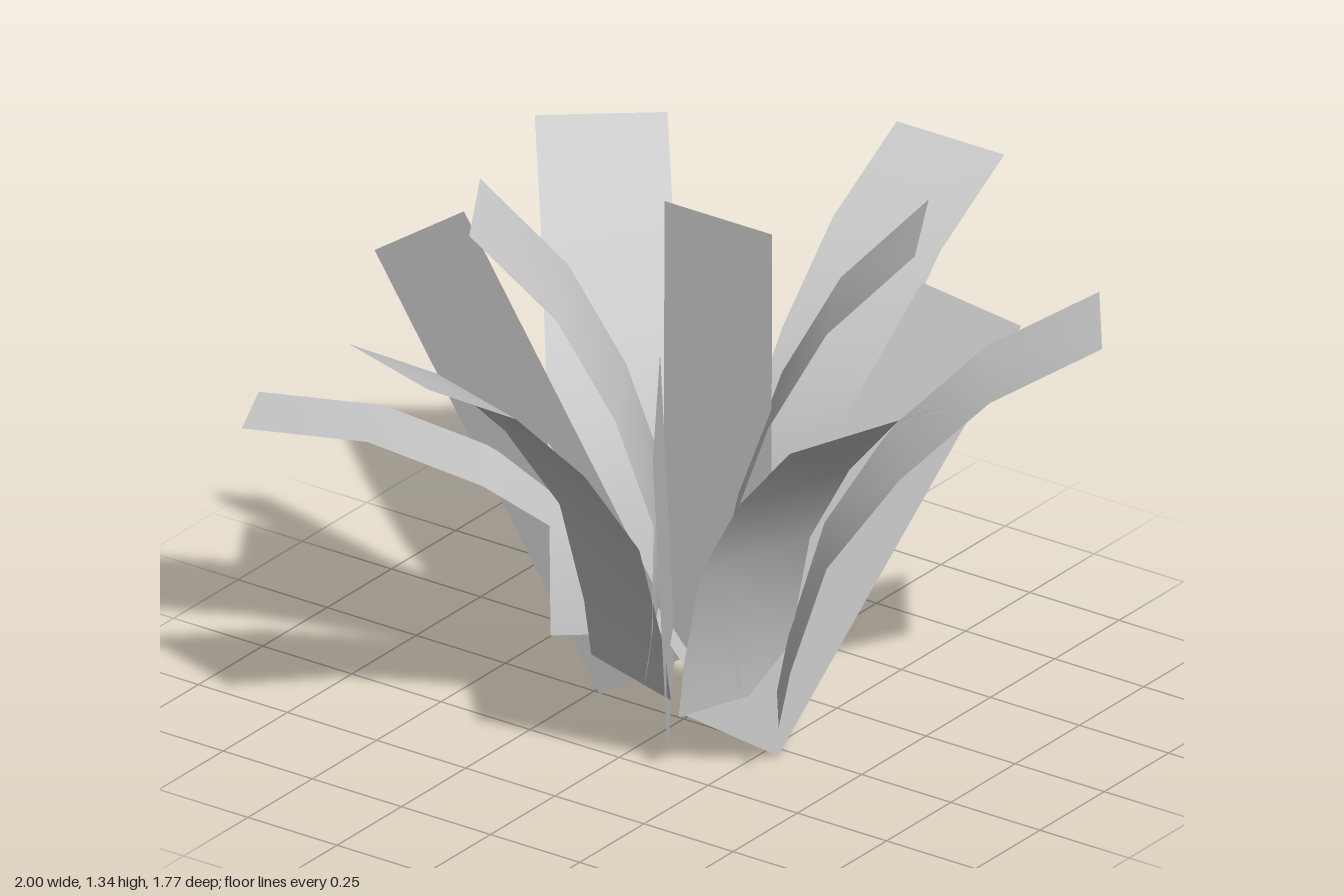
import * as THREE from 'three';

const WIDTH = 0.302;
// side profile of an arched leaf: [distance along the chord, bulge above it]
const ARCH = [[0, 0], [0.126, 0.064], [0.383, 0.159], [0.661, 0.164], [0.937, 0.12], [1.2, 0]];
const FLAT = [[0, 0], [1.135, 0]];

const material = new THREE.MeshStandardMaterial({ color: 0xcccccc, side: THREE.DoubleSide });

// strip of constant width following a profile, rising along +y and bulging to +z
function stripGeometry(profile) {
  const n = profile.length - 1;
  const geo = new THREE.PlaneGeometry(WIDTH, 1, 1, n);
  const pos = geo.attributes.position;
  for (let i = 0; i < pos.count; i++) {
    const [along, bulge] = profile[n - Math.floor(i / 2)];
    pos.setY(i, along);
    pos.setZ(i, bulge);
  }
  geo.computeVertexNormals();
  return geo;
}

// place a strip from its base centre towards its tip centre, turned about its length
function leaf(name, geometry, base, tip, roll = 0) {
  const start = new THREE.Vector3(...base);
  const chord = new THREE.Vector3(...tip).sub(start).normalize();
  const side = chord.clone().cross(new THREE.Vector3(0, 1, 0)).normalize();
  const normal = side.clone().cross(chord);
  const mesh = new THREE.Mesh(geometry, material);
  mesh.name = name;
  mesh.position.copy(start);
  mesh.quaternion.setFromRotationMatrix(new THREE.Matrix4().makeBasis(side, chord, normal));
  mesh.rotateY(roll);
  return mesh;
}

export function createModel() {
  const group = new THREE.Group();
  group.name = 'grassTuft';
  const arch = stripGeometry(ARCH);
  const flat = stripGeometry(FLAT);

  // arched leaves fanning outwards
  const arched = [
    ['backLeaf', [0.107, 0.16, -0.2], [0.107, 1.143, -0.89]],
    ['backRightLeaf', [-0.18, 0.16, 0.01], [-0.61, 1.143, -0.525]],
    ['frontLeaf', [-0.02, 0.16, 0.176], [-0.225, 1.143, 0.835]],
    ['frontLeftLeaf', [0.24, 0.16, 0.14], [0.89, 1.143, 0.363]],
    ['backLeftLeaf', [0.31, 0.155, 0.065], [0.9, 1.107, -0.38]],
    ['innerRightLeaf', [0.015, 0.2, 0.155], [-0.325, 1.33, 0.36]],
    ['innerLeftLeaf', [0.21, 0.2, 0.05], [0.56, 1.33, -0.15]],
    ['droopingRightLeaf', [0.042, 0.11, -0.04], [-0.93, 0.655, 0.383], 0.185],
  ];
  for (const [name, base, tip, roll] of arched) group.add(leaf(name, arch, base, tip, roll));

  // straight blades standing in upright planes
  const q = Math.PI / 2;
  const straight = [
    ['uprightBlade', [0.105, 0.155, 0.015], [0.105, 1.29, 0.01], 0],
    ['rightBlade', [-0.095, 0.085, 0.02], [-0.725, 1.025, 0.02], q],
    ['frontBlade', [0.02, 0.075, 0.075], [0.31, 1.08, 0.535], q],
    ['backLeftBlade', [0.23, 0.075, 0.145], [0.515, 1.025, -0.405], q],
  ];
  for (const [name, base, tip, roll] of straight) group.add(leaf(name, flat, base, tip, roll));

  return group;
}
